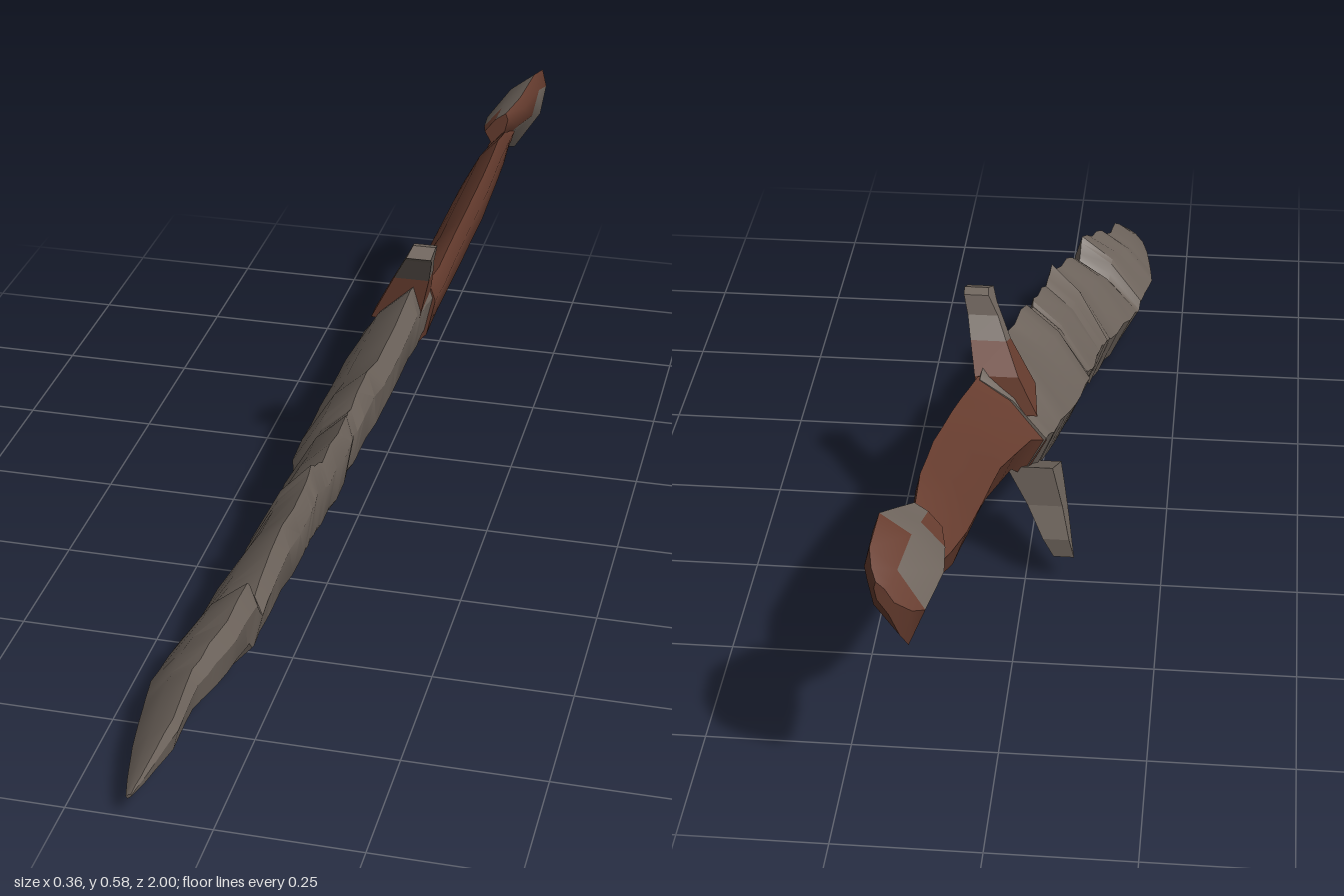
import * as THREE from 'three';
import { toCreasedNormals } from 'three/addons/utils/BufferGeometryUtils.js';

const steel = new THREE.MeshStandardMaterial({ color: 0x70665e });
steel.name = 'worn steel';
const leather = new THREE.MeshStandardMaterial({ color: 0x693e30 });
leather.name = 'brown leather';

// Small seeded noise in -1..1
let seed = 7;
const noise = () => {
  seed = (seed * 16807) % 2147483647;
  return (seed / 2147483647) * 2 - 1;
};

// Station: [z, bottom y, top y, left x, right x]. The section is a leaning lens.
function section([z, yb, yt, xl, xr]) {
  const h = yt - yb, w = xr - xl;
  return [
    [xl + w * 0.3, yb, z],
    [xr - w * 0.12, yb + h * 0.45, z],
    [xr, yb + h * 0.8, z],
    [xr - w * 0.1, yt, z],
    [xl + w * 0.45, yb + h * 0.78, z],
    [xl, yb + h * 0.38, z],
  ];
}

// Adds in-between stations with chipped upper and lower edges
function chip(stations, steps, amount) {
  const out = [];
  stations.forEach((s, i) => {
    out.push(s);
    const n = stations[i + 1];
    if (!n) return;
    for (let k = 1; k < steps; k++) {
      const m = s.map((v, j) => v + ((n[j] - v) * k) / steps);
      const a = amount * Math.min(1, (m[2] - m[1]) * 5);
      m[1] += noise() * a;
      m[2] += noise() * a;
      out.push(m);
    }
  });
  return out;
}

// Skins stations running from +z to -z; pick(ring, side) chooses material 0 or 1
function loft(name, stations, materials, crease, pick = () => 0) {
  const rings = stations.map(section);
  const faces = [[], []];
  const n = rings[0].length;
  for (let i = 0; i < rings.length - 1; i++) {
    for (let j = 0; j < n; j++) {
      const k = (j + 1) % n;
      const a = rings[i][j], b = rings[i][k], c = rings[i + 1][j], d = rings[i + 1][k];
      faces[pick(i, j)].push(...a, ...c, ...b, ...b, ...c, ...d);
    }
  }
  const first = rings[0], last = rings[rings.length - 1];
  for (let j = 1; j < n - 1; j++) {
    faces[0].push(...first[0], ...first[j], ...first[j + 1]);
    faces[0].push(...last[0], ...last[j + 1], ...last[j]);
  }
  const geo = new THREE.BufferGeometry();
  geo.setAttribute('position', new THREE.Float32BufferAttribute(faces[0].concat(faces[1]), 3));
  const count = faces[0].length / 3;
  geo.addGroup(0, count, 0);
  if (faces[1].length) geo.addGroup(count, faces[1].length / 3, 1);
  const mesh = new THREE.Mesh(toCreasedNormals(geo, crease), materials);
  mesh.name = name;
  return mesh;
}

// Guard piece: outline in (z, y), extruded and sheared to follow the lean of the blade
function prong(name, outline, material, thick) {
  const shape = new THREE.Shape(outline.map(([z, y]) => new THREE.Vector2(-z, y)));
  const geo = new THREE.ExtrudeGeometry(shape, { depth: thick, bevelEnabled: false });
  geo.translate(0, 0, -thick / 2).rotateY(Math.PI / 2);
  const p = geo.attributes.position;
  for (let i = 0; i < p.count; i++) {
    const y = p.getY(i);
    const taper = 1 - Math.min(0.7, Math.abs(y - 0.3) * 2.6);
    p.setX(i, p.getX(i) * taper + 0.015 + 0.36 * (y - 0.3));
  }
  geo.computeVertexNormals();
  const mesh = new THREE.Mesh(geo, material);
  mesh.name = name;
  return mesh;
}

export function createModel() {
  const group = new THREE.Group();
  group.name = 'dagger';

  // Bent, battered blade with notches along both edges
  const blade = [
    [1.0, 0.04, 0.05, -0.145, -0.135],
    [0.97, 0.033, 0.085, -0.152, -0.115],
    [0.9, 0.024, 0.135, -0.165, -0.085],
    [0.8, 0.018, 0.165, -0.178, -0.08],
    [0.74, 0.015, 0.2, -0.183, -0.05],
    [0.64, 0.006, 0.24, -0.167, -0.025],
    [0.61, 0.012, 0.195, -0.16, -0.022],
    [0.54, 0.015, 0.245, -0.148, -0.012],
    [0.4, 0.042, 0.295, -0.115, 0.01],
    [0.37, 0.05, 0.322, -0.11, 0.015],
    [0.32, 0.068, 0.3, -0.098, 0.022],
    [0.21, 0.085, 0.335, -0.09, 0.038],
    [0.185, 0.108, 0.33, -0.08, 0.035],
    [0.15, 0.1, 0.355, -0.09, 0.046],
    [0.0, 0.14, 0.385, -0.075, 0.068],
    [-0.12, 0.172, 0.435, -0.055, 0.085],
    [-0.17, 0.18, 0.43, -0.046, 0.09],
    [-0.22, 0.22, 0.412, -0.036, 0.096],
  ];
  group.add(loft('blade', chip(blade, 3, 0.009), [steel], 0.45));

  // Leather grip
  const grip = [
    [-0.21, 0.205, 0.413, -0.036, 0.1],
    [-0.26, 0.25, 0.42, -0.012, 0.108],
    [-0.4, 0.278, 0.458, 0.028, 0.12],
    [-0.55, 0.308, 0.492, 0.042, 0.134],
    [-0.68, 0.338, 0.515, 0.055, 0.138],
    [-0.76, 0.37, 0.5, 0.072, 0.136],
    [-0.81, 0.41, 0.48, 0.082, 0.134],
    [-0.84, 0.42, 0.48, 0.085, 0.135],
  ];
  group.add(loft('grip', chip(grip, 2, 0.004), [leather], 0.7));

  // Pommel, leather with bare steel patches
  const pommel = [
    [-0.785, 0.46, 0.53, 0.082, 0.13],
    [-0.83, 0.435, 0.55, 0.072, 0.155],
    [-0.89, 0.41, 0.58, 0.067, 0.176],
    [-0.96, 0.383, 0.565, 0.088, 0.18],
    [-0.985, 0.42, 0.545, 0.105, 0.172],
    [-1.0, 0.47, 0.53, 0.13, 0.16],
  ];
  const patches = ['1-0', '2-0', '3-0', '2-1', '3-1', '0-3', '1-3', '1-4', '2-4', '2-5'];
  group.add(loft('pommel', pommel, [leather, steel], 0.6, (i, j) => (patches.includes(`${i}-${j}`) ? 1 : 0)));

  // Cross guard
  group.add(
    prong('upperGuardRoot', [[-0.14, 0.36], [-0.22, 0.34], [-0.205, 0.41], [-0.165, 0.46], [-0.135, 0.45]], leather, 0.11),
    prong('upperGuardTip', [[-0.135, 0.45], [-0.165, 0.46], [-0.135, 0.495], [-0.125, 0.53], [-0.105, 0.535],
      [-0.075, 0.522], [-0.1, 0.505]], steel, 0.11),
    prong('lowerGuard', [[-0.15, 0.2], [-0.17, 0.165], [-0.205, 0.115], [-0.255, 0.06], [-0.258, 0.1],
      [-0.238, 0.16], [-0.235, 0.24]], steel, 0.1),
  );
  return group;
}
